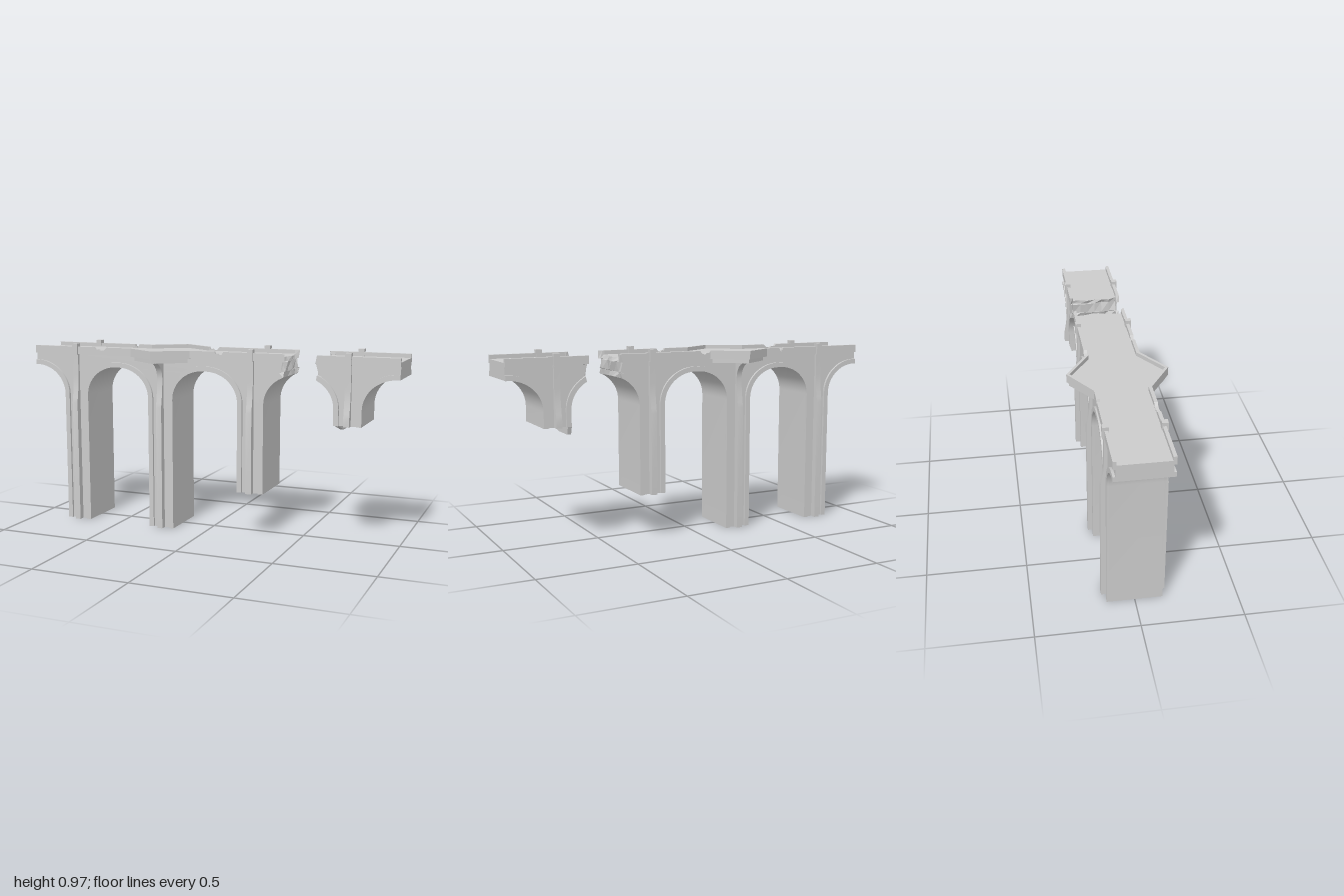
import * as THREE from 'three';
import { toCreasedNormals } from 'three/addons/utils/BufferGeometryUtils.js';

const SPRING = 0.692, CROWN_D = 0.24, DECK = 0.93, TOP = 0.95;
const WALL = 0.125, FACE = 0.137, INNER = 0.12;
const material = new THREE.MeshStandardMaterial({ color: 0xcccccc });
const ragged = new THREE.MeshStandardMaterial({ color: 0xcccccc, flatShading: true });

// Piers: centre, foot height and reach of the arch to the left and right
const PIERS = [
  { x: -0.75, foot: 0, left: 0.25, right: 0.25 },
  { x: -0.25, foot: 0, left: 0.25, right: 0.25, corbel: true },
  { x: 0.25, foot: 0.232, left: 0.25, right: 0.15 },
  { x: 0.75, foot: 0.61, left: 0.135, right: 0.25 },
];
// Spans of standing bridge
const SPANS = [
  { from: -1, to: 0.4, piers: PIERS.slice(0, 3) },
  { from: 0.615, to: 1, piers: PIERS.slice(3) },
];
// Chipped places in the parapets
const CHIPS = [
  { x: -0.6, side: 1, w: 0.08 }, { x: 0.08, side: 1, w: 0.05 },
  { x: -0.51, side: -1, w: 0.025 }, { x: -0.05, side: -1, w: 0.06 },
];

const toShape = (pts) => new THREE.Shape(pts.map(([a, b]) => new THREE.Vector2(a, b)));
const extrude = (pts, depth) =>
  new THREE.ExtrudeGeometry(toShape(pts), { depth, bevelEnabled: false });

// Outline in x,y run from z0 to z1
const alongZ = (pts, z0, z1) => extrude(pts, z1 - z0).translate(0, 0, z0);
// Outline in z,y centred on x
const alongX = (pts, x, width) =>
  extrude(pts, width).rotateY(-Math.PI / 2).translate(x + width / 2, 0, 0);
// Outline in x,z run from y0 to y1
const alongY = (pts, y0, y1) =>
  extrude(pts.map(([x, z]) => [x, -z]), y1 - y0).rotateX(-Math.PI / 2).translate(0, y0, 0);

// Height of the arch at distance d from the pier centre; e offsets it outward
function archY(d, e) {
  const rx = 0.17 + e, ry = 0.155 + e;
  const k = Math.max(0, CROWN_D - d) / rx;
  return SPRING + ry * Math.sqrt(Math.max(0, 1 - k * k));
}

// Half arch from the foot up to the reach, as [distance, height]
function halfArch(foot, reach, e) {
  const rx = 0.17 + e, ry = 0.155 + e, pts = [[CROWN_D - rx, foot]];
  for (let i = 0; i <= 16; i++) {
    const t = (i / 16) * Math.PI / 2;
    const d = CROWN_D - rx * Math.cos(t);
    if (d < reach - 0.002) pts.push([d, SPRING + ry * Math.sin(t)]);
  }
  pts.push([reach, archY(reach, e)]);
  return pts;
}

// Hash noise from 0 to 1
const noise = (a, b) => {
  const n = Math.sin(a * 127.1 + b * 311.7) * 43758.5453;
  return n - Math.floor(n);
};

// Ragged stump of masonry where the span has fallen away
function brokenEnd(x0, dir, pierX) {
  const zs = [-FACE, -0.121, -0.119, -0.08, -0.04, 0, 0.04, 0.08, 0.119, 0.121, FACE];
  const geo = new THREE.BoxGeometry(1, 1, 1, 1, 5, 10);
  const p = geo.attributes.position;
  for (let i = 0; i < p.count; i++) {
    const u = p.getX(i) + 0.5;
    const row = Math.round((p.getY(i) + 0.5) * 5);
    const col = Math.round((p.getZ(i) + 0.5) * 10);
    const reach = dir > 0 ? u : 1 - u;
    const x = x0 + dir * reach * (0.004 + 0.026 * noise(row + 1, col + dir * 3));
    const d = Math.abs(x - pierX);
    const trim = archY(d, 0.025);
    let z = zs[col];
    const top = Math.abs(z) > INNER ? TOP : DECK;
    const y = [archY(d, 0), trim, trim + 0.002, 0.908, 0.91, top][row];
    if (row === 2 || row === 3) z = THREE.MathUtils.clamp(z, -WALL, WALL);
    p.setXYZ(i, x, y, z);
  }
  const flat = geo.toNonIndexed();
  flat.computeVertexNormals();
  return flat;
}

// Pilaster outline in z,y; the corbelled one sweeps out under the lookout
function pilaster(foot, corbel, s) {
  const pts = [[0.11, foot], [0.157, foot], [0.157, 0.65]];
  for (let i = 1; i <= 6; i++) {
    const t = i / 6;
    pts.push([0.157 - 0.018 * Math.sin(t * Math.PI / 2), 0.65 + 0.15 * t]);
  }
  if (corbel) {
    for (let i = 1; i <= 10; i++) {
      const t = (i / 10) * Math.PI / 2;
      pts.push([0.139 + 0.076 * (1 - Math.cos(t)), 0.8 + 0.085 * Math.sin(t)]);
    }
  } else pts.push([0.139, 0.912]);
  pts.push([0.11, pts[pts.length - 1][1]]);
  return pts.map(([z, y]) => [z * s, y]);
}

// Cornice and parapet strip outline with chips bitten out of its top
function parapet(from, to, side) {
  const pts = [[from, 0.91], [from, TOP]];
  const chips = CHIPS.filter((c) => c.side === side && c.x > from && c.x < to);
  for (const { x, w } of chips) {
    pts.push([x - w / 2, TOP], [x - w * 0.38, 0.938], [x - w * 0.15, 0.94],
      [x, 0.931], [x + w * 0.3, 0.936], [x + w / 2, TOP]);
  }
  pts.push([to, TOP], [to, 0.91]);
  return pts;
}

export function createModel() {
  const model = new THREE.Group();
  const add = (name, geo, mat = material) => {
    const mesh = new THREE.Mesh(mat === ragged ? geo : toCreasedNormals(geo, 0.5), mat);
    mesh.name = name;
    model.add(mesh);
  };
  const bothZ = (name, pts, a, b) => {
    add(name, alongZ(pts, a, b));
    add(name, alongZ(pts, -b, -a));
  };

  for (const { from, to, piers } of SPANS) {
    // Deck, spandrels and piers in one arched body
    const outline = [[from, DECK]];
    for (const p of piers) {
      const l = halfArch(p.foot, p.left, 0).reverse().map(([d, y]) => [p.x - d, y]);
      const r = halfArch(p.foot, p.right, 0).map(([d, y]) => [p.x + d, y]);
      if (p !== piers[0]) l.shift();
      outline.push(...l, ...r);
    }
    outline.push([to, DECK]);
    add('archedBody', alongZ(outline, -WALL, WALL));
  }

  for (const p of PIERS) {
    // Raised bands along the pier edges and arches
    for (const [s, reach] of [[-1, p.left], [1, p.right]]) {
      const band = [...halfArch(p.foot, reach, 0), ...halfArch(p.foot, reach, 0.025).reverse()];
      bothZ('archBand', band.map(([d, y]) => [p.x + s * d, y]), WALL, FACE);
    }
    for (const s of [-1, 1]) {
      add(p.corbel ? 'corbelPilaster' : 'pilaster',
        alongX(pilaster(p.foot, p.corbel, s), p.x, 0.03));
      if (!p.corbel) {
        add('parapetPost',
          new THREE.BoxGeometry(0.03, 0.06, 0.03).translate(p.x, 0.937, s * 0.132));
      }
    }
  }

  // Parapets with cornice, left open at the lookouts
  for (const [from, to] of [[-1, -0.42], [-0.08, 0.4], [0.615, 1]]) {
    add('frontParapet', alongZ(parapet(from, to, 1), INNER, FACE));
    add('backParapet', alongZ(parapet(from, to, -1), -FACE, -INNER));
  }

  // Pointed lookouts on both sides
  for (const s of [-1, 1]) {
    const flip = (pts) => pts.map(([x, z]) => [x, z * s]);
    const outer = [[-0.42, FACE], [-0.25, 0.248], [-0.08, FACE]];
    add('lookoutFloor', alongY(flip([[-0.42, 0.12], ...outer, [-0.08, 0.12]]), 0.907, DECK));
    add('lookoutParapet',
      alongY(flip([...outer, [-0.08, INNER], [-0.25, 0.232], [-0.42, INNER]]), DECK, TOP));
    add('lookoutBase',
      alongY(flip([[-0.41, 0.12], [-0.25, 0.235], [-0.09, 0.12]]), 0.886, 0.907));
  }

  // Broken faces either side of the gap and under the hanging pier
  add('brokenEnd', brokenEnd(0.4, 1, 0.25), ragged);
  add('brokenEnd', brokenEnd(0.615, -1, 0.75), ragged);
  add('brokenFoot',
    alongX([[0.12, 0.61], [0, 0.572], [-0.125, 0.572], [-FACE, 0.61]], 0.69, 0.02));

  return model;
}
